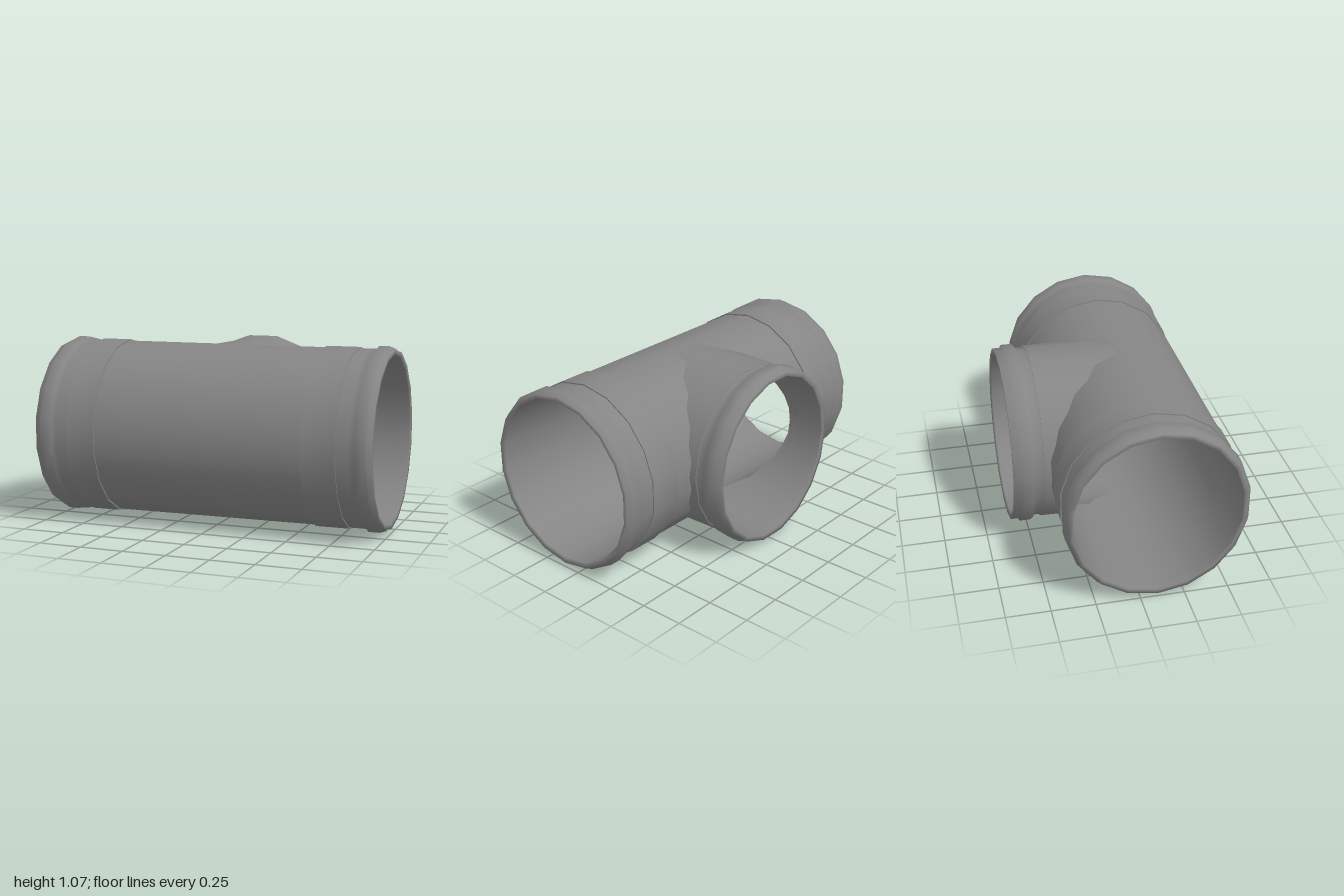
import * as THREE from 'three';
import { toCreasedNormals } from 'three/addons/utils/BufferGeometryUtils.js';

const SIDES = 18, STEP = (2 * Math.PI) / SIDES;
const K = 0.97;               // sideways squash of the round sections
const CY = 0.537, CZ = 0.097; // height and depth of the main axis
const LEFT_END = 0.605, RIGHT_END = 0.625; // where the plain middle run stops
const NECK = -0.43;           // where the branch body meets its collar
const R = 0.513, RI = 0.485;  // main run, outer and inner radius
const B = 0.5155, BI = 0.48;  // branch, outer and inner radius
const material = new THREE.MeshStandardMaterial({ color: 0x858585 });

// Slight taper of the whole fitting towards +x
function taper(geo) {
  const p = geo.attributes.position;
  for (let i = 0; i < p.count; i++) p.setY(i, CY + (p.getY(i) - CY) * (1 - 0.008 * p.getX(i)));
  return geo;
}

function addMesh(group, name, geo) {
  const mesh = new THREE.Mesh(taper(geo), material);
  mesh.name = name;
  group.add(mesh);
}

// Half width of an 18-sided section of radius r at height y above its axis
function halfWidth(y, r, offset) {
  const d = Math.abs(y);
  if (d > r * Math.cos(offset)) return 0;
  for (let a = offset; a < Math.PI / 2; a += STEP) {
    const y0 = r * Math.cos(a), y1 = r * Math.cos(a + STEP);
    if (d <= y0 && d >= y1) {
      const t = (y0 - d) / (y0 - y1);
      return K * r * (Math.sin(a) * (1 - t) + Math.sin(a + STEP) * t);
    }
  }
  return K * r;
}

// One skin of the tee junction: main run with an opening, and the branch trimmed to it.
// side = 1 faces outward, -1 faces inward.
function junctionSkin(rMain, rBranch, rNeck, side) {
  const pos = [], nor = [];
  const quad = (pts, nrm) => {
    const [a, b, c, d] = pts;
    const g = new THREE.Vector3().crossVectors(c.clone().sub(a), d.clone().sub(b));
    const order = g.dot(nrm[0]) + g.dot(nrm[2]) > 0 ? [0, 1, 2, 0, 2, 3] : [0, 2, 1, 0, 3, 2];
    for (const i of order) {
      pos.push(pts[i].x, pts[i].y, pts[i].z);
      nor.push(nrm[i].x, nrm[i].y, nrm[i].z);
    }
  };
  const V = (x, y, z) => new THREE.Vector3(x, y, z);

  // Heights at which either section has a corner
  const heights = [];
  for (let i = 0; i <= 9; i++) heights.push(rMain * Math.cos(i * STEP));
  for (let i = 0; i < 9; i++) heights.push(rBranch * Math.cos((i + 0.5) * STEP));
  const lip = rBranch * Math.cos(STEP / 2);
  heights.push(lip + 1e-5, -lip - 1e-5);
  heights.sort((a, b) => b - a);

  for (let i = 0; i + 1 < heights.length; i++) {
    const rows = [heights[i], heights[i + 1]].map((y) => ({
      y,
      w: halfWidth(y, rMain, 0),
      h: halfWidth(y * (1 - 1e-9), rBranch, STEP / 2),
    }));
    const [p, q] = rows;
    for (const s of [1, -1]) {
      const end = s > 0 ? LEFT_END : -RIGHT_END;
      // Main run, front then back with the opening
      for (const f of [1, -1]) {
        const [hp, hq] = f > 0 ? [0, 0] : [p.h, q.h];
        const n = rows.map((r) => V(0, r.y, (f * r.w) / (K * K)).normalize().multiplyScalar(side));
        quad([
          V(s * hp, CY + p.y, CZ + f * p.w), V(end, CY + p.y, CZ + f * p.w),
          V(end, CY + q.y, CZ + f * q.w), V(s * hq, CY + q.y, CZ + f * q.w),
        ], [n[0], n[0], n[1], n[1]]);
      }
      // Branch wall, from the main run out to the neck
      if (p.h + q.h > 0) {
        const n = rows.map((r) => V((s * r.h) / (K * K), r.y, 0).normalize().multiplyScalar(side));
        const k = rNeck / rBranch;
        quad([
          V(s * p.h, CY + p.y, CZ - p.w), V(s * p.h * k, CY + p.y * k, NECK),
          V(s * q.h * k, CY + q.y * k, NECK), V(s * q.h, CY + q.y, CZ - q.w),
        ], [n[0], n[0], n[1], n[1]]);
      }
    }
  }
  const geo = new THREE.BufferGeometry();
  geo.setAttribute('position', new THREE.Float32BufferAttribute(pos, 3));
  geo.setAttribute('normal', new THREE.Float32BufferAttribute(nor, 3));
  return geo;
}

// Ring revolved from a (position along axis, radius) profile, smooth along its profile
function ring(profile, phase, matrix) {
  const pts = profile.map(([t, r]) => new THREE.Vector2(r, t));
  return new THREE.LatheGeometry(pts, SIDES, phase).applyMatrix4(matrix);
}

export function createModel() {
  const group = new THREE.Group();

  addMesh(group, 'junctionOuterWall', junctionSkin(R, B, 0.51, 1));
  addMesh(group, 'junctionInnerWall', junctionSkin(RI, BI, BI, -1));

  // Main run ends: crisp sleeve, then a softly shaded bead, rim and bore
  for (const s of [1, -1]) {
    const name = s > 0 ? 'left' : 'right';
    const start = s > 0 ? LEFT_END : RIGHT_END;
    const [bead0, bead1] = s > 0 ? [0.91, 0.97] : [0.902, 0.965];
    const m = new THREE.Matrix4().set(
      0, s, 0, 0,
      0, 0, 1, CY,
      s * K, 0, 0, CZ,
      0, 0, 0, 1);
    const sleeve = ring([[start, R], [start, 0.521], [0.8, 0.521], [0.8, 0.514]], 0, m);
    addMesh(group, name + 'Sleeve', toCreasedNormals(sleeve, 0.6));
    addMesh(group, name + 'Rim', ring([
      [0.8, 0.514], [0.87, 0.514], [bead0, 0.514], [bead0, 0.53], [bead1, 0.53],
      [bead1, 0.513], [1, 0.513], [1, RI + 0.004], [0.99, RI], [0.94, RI], [start, RI],
    ], 0, m));
  }

  // Branch collar pointing to the back
  const m = new THREE.Matrix4().set(
    K, 0, 0, 0,
    0, 0, 1, CY,
    0, -1, 0, 0,
    0, 0, 0, 1);
  addMesh(group, 'branchCollar', ring([
    [-NECK, 0.51], [-NECK, 0.5], [0.49, 0.5], [0.49, 0.526], [0.555, 0.526],
    [0.555, 0.51], [0.605, 0.51], [0.605, BI + 0.004], [0.595, BI], [0.55, BI], [-NECK, BI],
  ], STEP / 2, m));
  return group;
}
